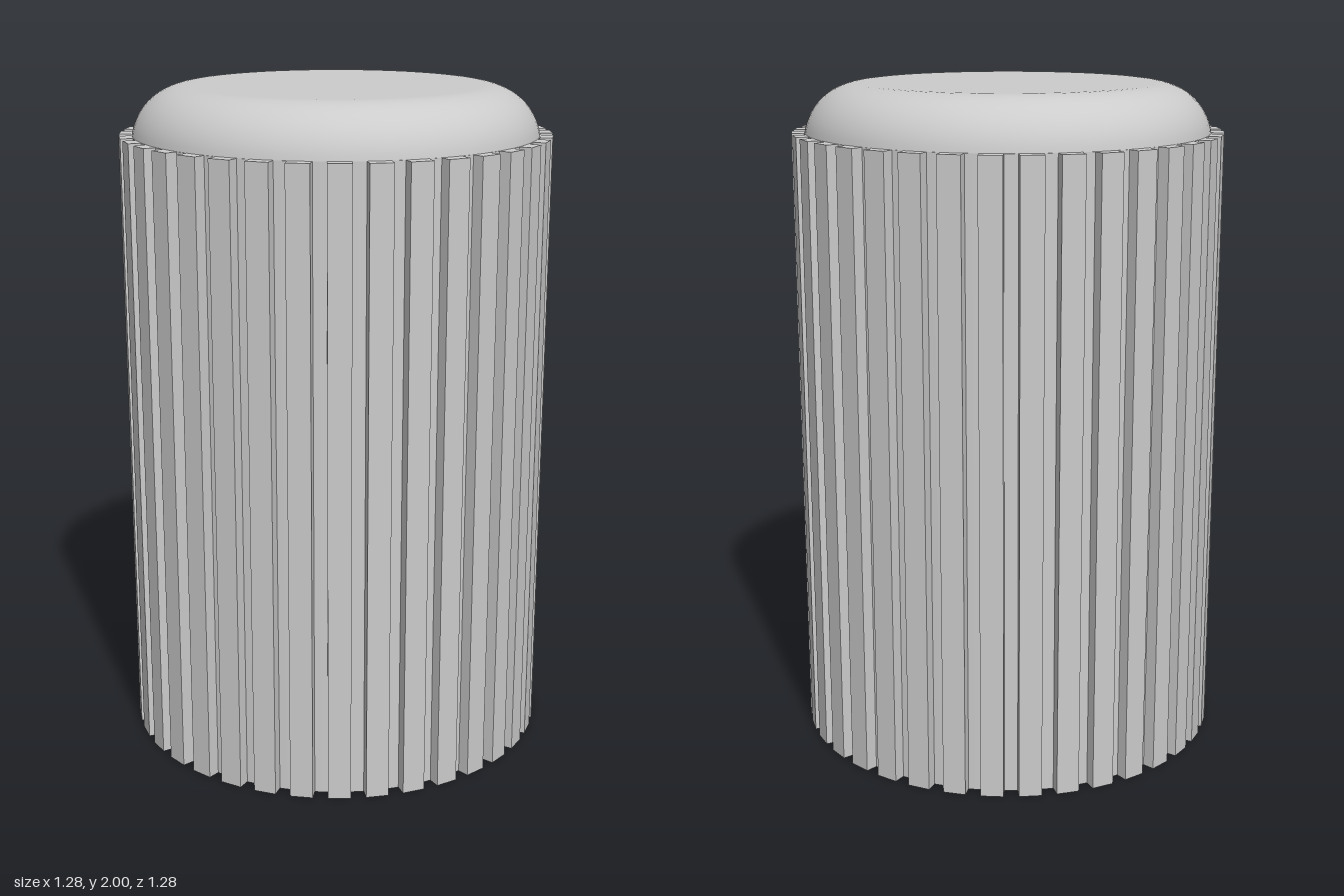
import * as THREE from 'three';

const RIBS = 36, ROOT = 0.605, TIP = 0.641, HALF = 0.0335;
const BODY_H = 1.857, HEX_R = 0.335, SOCKET_DEPTH = 1.0;

// Hexagon with corners on the front-back axis
function hexPoints() {
  return Array.from({ length: 6 }, (_, i) => {
    const a = Math.PI / 6 + i * Math.PI / 3;
    return new THREE.Vector2(HEX_R * Math.cos(a), HEX_R * Math.sin(a));
  });
}

// Ribbed outline: straight-sided ribs around a round core
function ribbedShape() {
  const pts = [], origin = new THREE.Vector2();
  const step = 2 * Math.PI / RIBS;
  const r = Math.sqrt(ROOT * ROOT - HALF * HALF);
  for (let i = 0; i < RIBS; i++) {
    const a = i * step - THREE.MathUtils.degToRad(1.9);
    for (const [u, v] of [[r, -HALF], [TIP, -HALF], [TIP, HALF], [r, HALF]]) {
      pts.push(new THREE.Vector2(u, v).rotateAround(origin, a));
    }
    // middle of the groove floor
    pts.push(new THREE.Vector2(ROOT, 0).rotateAround(origin, a + step / 2));
  }
  return new THREE.Shape(pts);
}

export function createModel() {
  const group = new THREE.Group();
  group.name = 'ribbedKnob';
  const material = new THREE.MeshStandardMaterial({ color: 0xcccccc });
  const add = (name, geometry) => {
    const mesh = new THREE.Mesh(geometry, material);
    mesh.name = name;
    group.add(mesh);
    return mesh;
  };

  // Ribbed body with the hexagonal bore
  const shape = ribbedShape();
  shape.holes.push(new THREE.Path(hexPoints().reverse()));
  const body = new THREE.ExtrudeGeometry(shape, { depth: BODY_H, bevelEnabled: false });
  body.rotateX(-Math.PI / 2);
  add('ribbedBody', body);

  // Closed end of the hexagonal socket, facing down
  const end = new THREE.CircleGeometry(HEX_R, 6, Math.PI / 6);
  end.rotateX(Math.PI / 2);
  add('socketEnd', end).position.y = SOCKET_DEPTH;

  // Rounded top with a flat centre
  const fillet = 0.17, start = Math.asin((BODY_H - 2 + fillet) / fillet);
  const profile = [];
  for (let i = 0; i <= 16; i++) {
    const a = start + (Math.PI / 2 - start) * i / 16;
    profile.push(new THREE.Vector2(
      ROOT - fillet + fillet * Math.cos(a),
      2 - fillet + fillet * Math.sin(a)));
  }
  profile.push(new THREE.Vector2(0.42, 2), new THREE.Vector2(0, 2));
  add('roundedTop', new THREE.LatheGeometry(profile, 96));

  return group;
}
